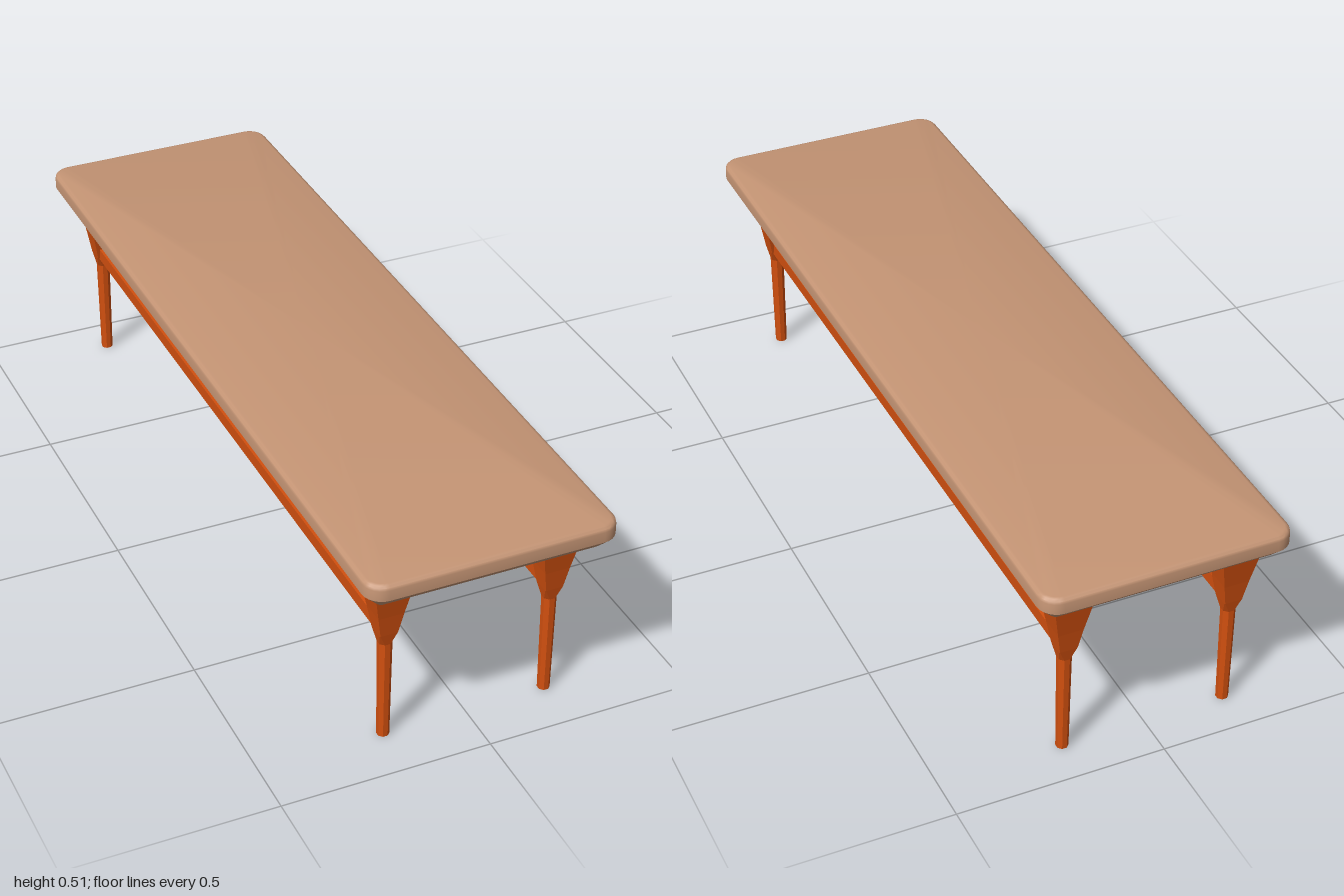
import * as THREE from 'three';
import { toCreasedNormals } from 'three/addons/utils/BufferGeometryUtils.js';

// Closed skin over rings of [x, z] points stacked upwards, capped at both ends
function loft(rings) {
  const pos = [];
  const n = rings[0].pts.length;
  const at = (r, j) => [r.pts[j % n][0], r.y, r.pts[j % n][1]];
  const tri = (a, b, c) => pos.push(...a, ...b, ...c);
  const low = rings[0], high = rings[rings.length - 1];
  for (let j = 0; j < n; j++) {
    for (let i = 0; i + 1 < rings.length; i++) {
      const a = at(rings[i], j), b = at(rings[i], j + 1);
      const c = at(rings[i + 1], j), d = at(rings[i + 1], j + 1);
      tri(a, c, b);
      tri(b, c, d);
    }
    tri([0, low.y, 0], at(low, j), at(low, j + 1));
    tri([0, high.y, 0], at(high, j + 1), at(high, j));
  }
  const geo = new THREE.BufferGeometry();
  geo.setAttribute('position', new THREE.Float32BufferAttribute(pos, 3));
  geo.computeVertexNormals();
  return geo;
}

// Rounded rectangle outline with half sizes hx, hz and corner radius r
function roundedRect(hx, hz, r, steps = 6) {
  const pts = [];
  [[1, 1], [-1, 1], [-1, -1], [1, -1]].forEach(([sx, sz], q) => {
    for (let s = 0; s <= steps; s++) {
      const a = (q + s / steps) * Math.PI / 2;
      pts.push([sx * (hx - r) + r * Math.cos(a), sz * (hz - r) + r * Math.sin(a)]);
    }
  });
  return pts;
}

// Square of half width h whose corners are cut, leaving flats of half width k
const cutSquare = (h, k) =>
  [[h, -k], [h, k], [k, h], [-k, h], [-h, k], [-h, -k], [-k, -h], [k, -h]];

export function createModel() {
  const model = new THREE.Group();
  const topMat = new THREE.MeshStandardMaterial({ color: 0xc49474 });
  const frameMat = new THREE.MeshStandardMaterial({ color: 0xd2500f, flatShading: true });

  const add = (name, geo, mat, x = 0, y = 0, z = 0) => {
    const mesh = new THREE.Mesh(geo, mat);
    mesh.name = name;
    mesh.position.set(x, y, z);
    model.add(mesh);
  };

  // Table top: bevelled underside, upright edge, rounded upper edge
  const profile = [[0.033, 0.44], [0, 0.473]];
  const round = 0.012;
  for (let i = 0; i <= 3; i++) {
    const a = i * Math.PI / 6;
    profile.push([round * (1 - Math.cos(a)), 0.499 + round * Math.sin(a)]);
  }
  const topRings = profile.map(([inset, y]) => ({
    y, pts: roundedRect(0.297 - inset, 1 - inset, 0.045 - inset),
  }));
  add('tableTop', toCreasedNormals(loft(topRings), 0.6), topMat);

  // Legs: octagonal shaft flaring into a square head
  const legGeo = loft([
    [0, 0.0135, 0.0056],
    [0.258, 0.0158, 0.0065],
    [0.29, 0.022, 0.0205],
    [0.345, 0.0305, 0.0303],
    [0.442, 0.0487, 0.0485],
  ].map(([y, h, k]) => ({ y, pts: cutSquare(h, k) })));
  const frontZ = 0.87, backZ = -0.895, legX = 0.2;
  const midZ = (frontZ + backZ) / 2;
  const bar = 0.032;

  for (const [side, x] of [['left', legX], ['right', -legX]]) {
    add(side + 'FrontLeg', legGeo, frameMat, x, 0, frontZ);
    add(side + 'BackLeg', legGeo, frameMat, x, 0, backZ);
    // Long rail joining front and back legs
    add(side + 'Rail', new THREE.BoxGeometry(bar, bar, frontZ - backZ), frameMat, x, 0.3, midZ);
  }

  // Crossbar joining the two rails
  add('crossbar', new THREE.BoxGeometry(2 * legX, bar - 0.001, bar), frameMat, 0, 0.3, midZ);

  return model;
}
